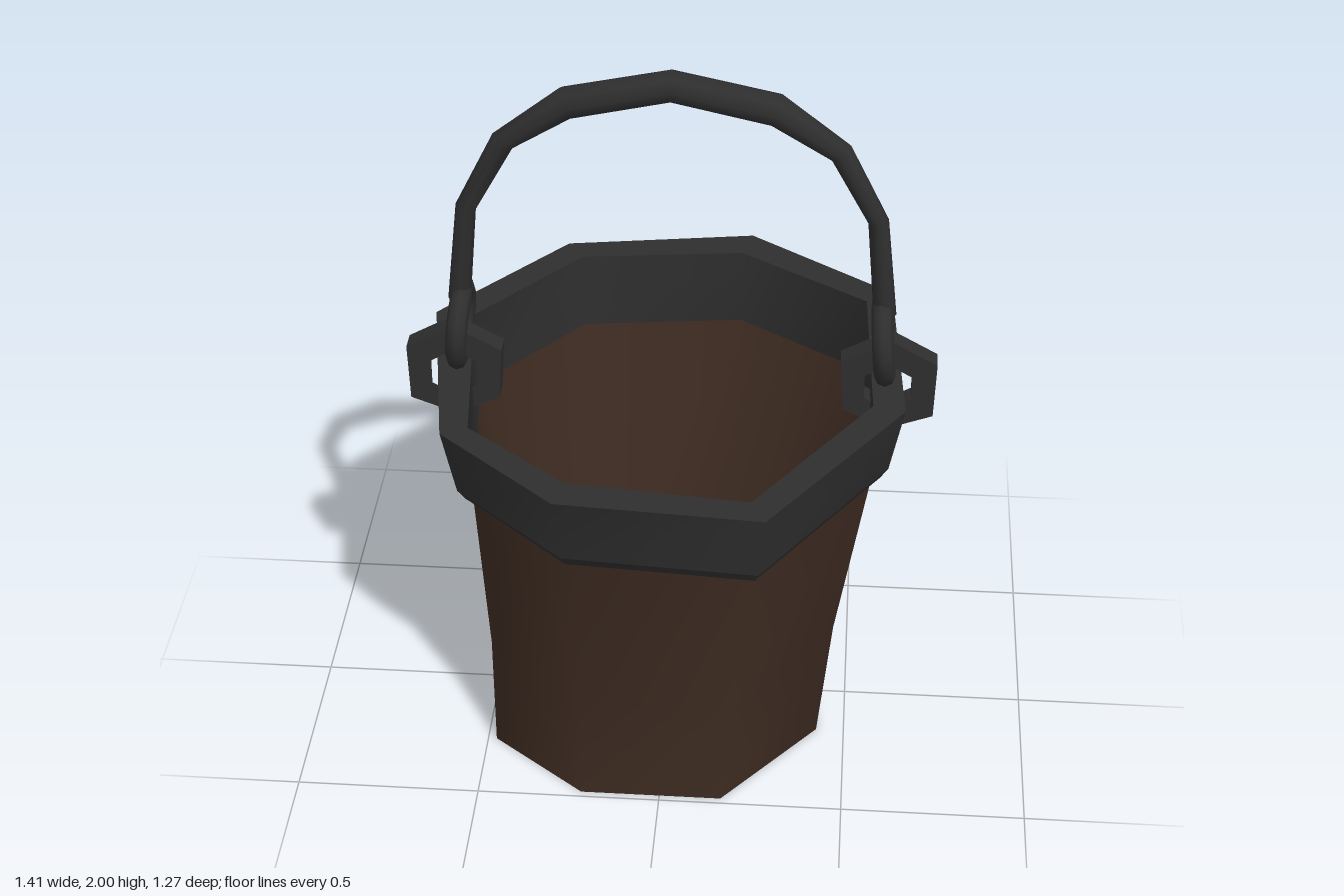
import * as THREE from 'three';
import { mergeGeometries } from 'three/addons/utils/BufferGeometryUtils.js';

const metal = new THREE.MeshStandardMaterial({ color: 0x2e2e2e });
metal.name = 'dark iron';
const wood = new THREE.MeshStandardMaterial({ color: 0x3d2b21 });
wood.name = 'brown wood';
const slate = new THREE.MeshStandardMaterial({ color: 0x2b3038, side: THREE.DoubleSide });
slate.name = 'slate chips';

// Irregular octagons as [x, z]
const RIM = [[0.185, -0.64], [0.585, -0.38], [0.625, 0.16], [0.28, 0.635], [-0.26, 0.6], [-0.58, 0.335], [-0.665, -0.205], [-0.335, -0.565]];
const MOUTH = [[0.16, -0.55], [0.515, -0.335], [0.54, 0.14], [0.24, 0.56], [-0.235, 0.515], [-0.51, 0.305], [-0.56, -0.2], [-0.29, -0.5]];
const FLOOR = [[0.05, -0.34], [0.31, -0.17], [0.335, 0.145], [0.13, 0.395], [-0.18, 0.395], [-0.39, 0.23], [-0.36, -0.07], [-0.22, -0.33]];

// Ring scaled about (cx, cz), lying on the tilted plane y + slope * z
function ring(outline, scale, y, slope = 0, cx = 0, cz = 0) {
  return outline.map(([px, pz]) => {
    const x = cx + (px - cx) * scale, z = cz + (pz - cz) * scale;
    return new THREE.Vector3(x, y + slope * z, z);
  });
}

// Smooth skin through successive closed rings
function loft(rings) {
  const n = rings[0].length, index = [];
  for (let r = 0; r < rings.length - 1; r++) {
    for (let i = 0; i < n; i++) {
      const a = r * n + i, b = r * n + (i + 1) % n;
      index.push(a, a + n, b, b, a + n, b + n);
    }
  }
  const g = new THREE.BufferGeometry().setFromPoints(rings.flat());
  g.setIndex(index);
  g.computeVertexNormals();
  return g;
}

// Skin with a hard edge at every ring
const bands = rings => mergeGeometries(rings.slice(1).map((r, i) => loft([rings[i], r])));

function add(parent, name, geometry, material) {
  const mesh = new THREE.Mesh(geometry, material);
  mesh.name = name;
  parent.add(mesh);
  return mesh;
}

export function createModel() {
  const bucket = new THREE.Group();
  bucket.name = 'bucket';

  // Wooden body: underside, outer wall with a bend, inner wall and floor
  const base = ring(FLOOR, 1.24, 0.005, 0, -0.03, 0.035);
  const top = ring(RIM, 0.875, 0.89, -0.075);
  const middle = base.map((p, i) => {
    const m = p.clone().lerp(top[i], 0.35).multiplyScalar(0.985);
    return m.set(m.x, 0.37 - 0.1 * m.z, m.z - 0.015);
  });
  const innerTop = ring(MOUTH, 0.985, 0.88, -0.07);
  const floor = ring(FLOOR, 1, 0.1);
  add(bucket, 'outerWall', loft([base, middle, top]), wood);
  add(bucket, 'underside', loft([ring(FLOOR, 0, 0.005), base]), wood);
  add(bucket, 'innerWall', loft([innerTop, floor]), wood);
  add(bucket, 'floor', loft([floor, ring(FLOOR, 0, 0.1)]), wood);

  // Iron rim band
  add(bucket, 'rim', bands([
    ring(RIM, 0.86, 0.888, -0.075),
    ring(RIM, 0.905, 0.88, -0.075),
    ring(RIM, 0.94, 0.915, -0.075),
    ring(RIM, 1, 1.105, -0.058),
    ring(MOUTH, 1, 1.105, -0.058),
    innerTop,
  ]), metal);

  // Hexagonal lugs through the rim, with a hanging ring each
  const outer = [[0.705, 1.17], [0.58, 1.24], [0.45, 1.17], [0.46, 1.02], [0.58, 0.965], [0.7, 1.01]];
  const hole = [[0.64, 1.13], [0.58, 1.165], [0.515, 1.13], [0.515, 1.06], [0.58, 1.025], [0.64, 1.06]];
  for (const side of [-1, 1]) {
    const name = side > 0 ? 'left' : 'right';
    const points = list => list.map(([x, y]) => new THREE.Vector2(side * x, y));
    const shape = new THREE.Shape(points(outer));
    shape.holes.push(new THREE.Path(points(hole)));
    const lug = add(bucket, name + 'Lug', new THREE.ExtrudeGeometry(shape, { depth: 0.058, bevelEnabled: false }), metal);
    lug.position.z = side > 0 ? -0.01 : 0;

    const torus = new THREE.TorusGeometry(0.097, 0.028, 8, 12).rotateY(Math.PI / 2).rotateZ(side * 0.08);
    add(bucket, name + 'Ring', torus.translate(side * 0.56, 1.235, 0.03), metal);
  }

  // Arched handle, thickest at the grip: half path as [x, y, radius]
  const half = [[0.56, 1.31, 0], [0.56, 1.31, 0.03], [0.532, 1.59, 0.027], [0.43, 1.785, 0.032], [0.265, 1.9, 0.044]];
  const path = [...half.map(([x, y, r]) => [-x, y, r]), [0, 1.957, 0.043], ...half.slice().reverse()];
  const sections = path.map(([x, y, r], i) => {
    const p = path[Math.max(i - 1, 0)], q = path[Math.min(i + 1, path.length - 1)];
    const t = new THREE.Vector2(q[0] - p[0], q[1] - p[1]);
    if (t.lengthSq() === 0) t.set(0, 1);
    t.normalize();
    return Array.from({ length: 8 }, (_, k) => {
      const a = k * Math.PI / 4, c = r * Math.cos(a);
      return new THREE.Vector3(x + t.y * c, y - t.x * c, 0.027 + r * Math.sin(a));
    });
  });
  add(bucket, 'handle', loft(sections), metal);

  // Small chips on the floor: [x, z, direction]
  for (const [x, z, turn] of [[-0.17, -0.315, 0], [-0.35, 0.215, 2.2], [0.11, 0.375, 3.1]]) {
    const chip = add(bucket, 'floorChip', new THREE.CircleGeometry(0.03, 3).rotateX(-Math.PI / 2), slate);
    chip.position.set(x, 0.103, z);
    chip.rotation.y = turn;
  }
  return bucket;
}
